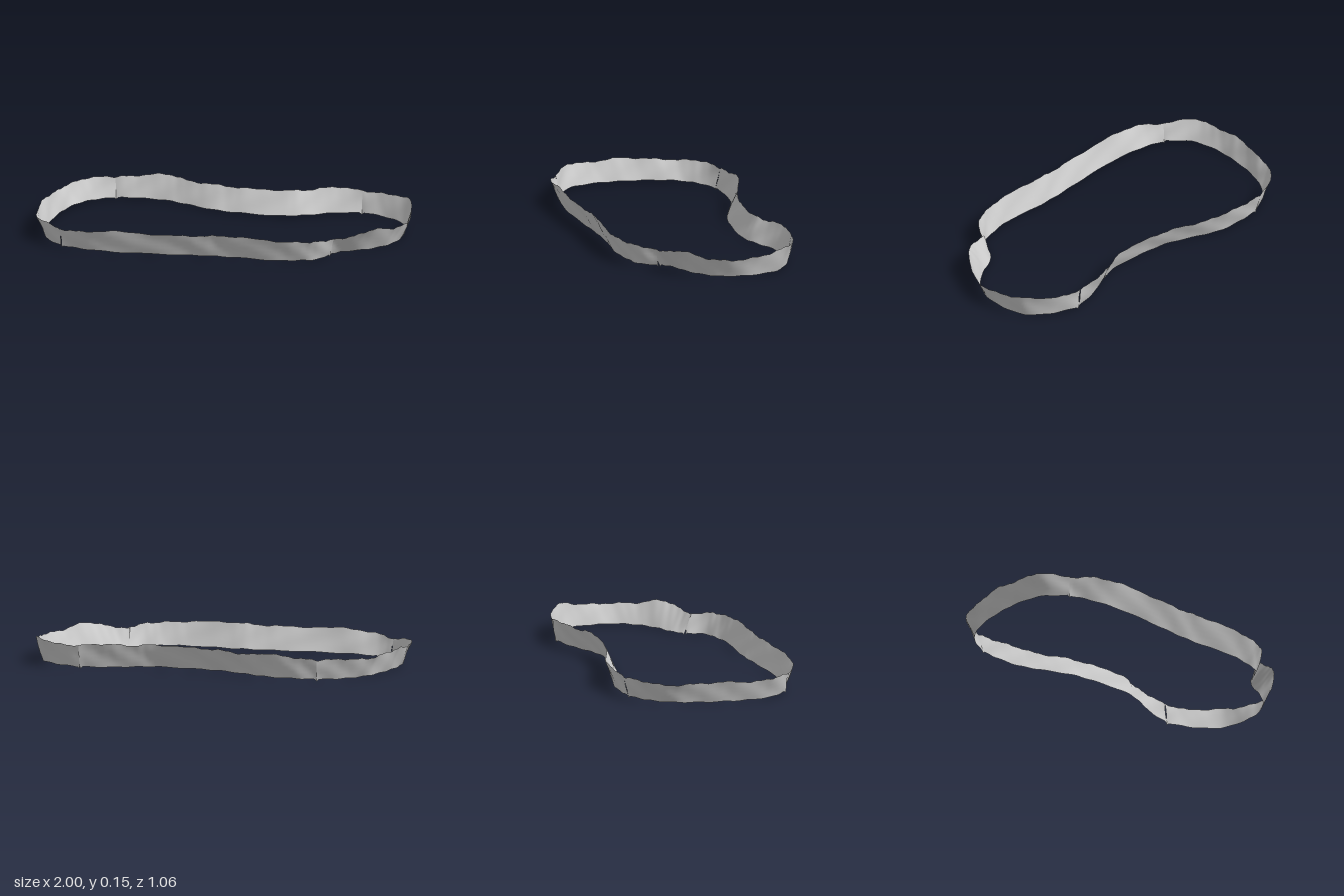
import * as THREE from 'three';

// Each panel: points along the top rim [x, z, height] and along the foot [x, z]
const panels = {
  backPanel: {
    top: [[-.73, -.425, .12], [-.61, -.45, .13], [-.45, -.47, .145], [-.32, -.44, .13], [-.15, -.40, .135], [0, -.385, .135],
      [.24, -.40, .14], [.35, -.45, .135], [.48, -.51, .145], [.63, -.53, .13]],
    foot: [[-.72, -.40], [-.61, -.42], [-.45, -.425], [-.32, -.39], [-.15, -.34], [0, -.33],
      [.24, -.345], [.35, -.39], [.48, -.46], [.63, -.51]],
  },
  rightPanel: {
    top: [[.63, -.53, .13], [.75, -.515, .13], [.92, -.425, .145], [.97, -.29, .122], [.995, -.13, .115], [.95, 0, .12],
      [.87, .125, .147], [.78, .20, .125], [.66, .245, .108]],
    foot: [[.63, -.515], [.78, -.47], [.90, -.385], [.945, -.24], [.94, -.10], [.89, 0],
      [.80, .085], [.70, .145], [.65, .20]],
  },
  frontPanel: {
    top: [[.68, .235, .11], [.62, .34, .125], [.54, .39, .13], [.40, .43, .137], [.14, .445, .147], [0, .46, .14],
      [-.18, .49, .137], [-.48, .52, .143], [-.67, .525, .127], [-.80, .47, .11]],
    foot: [[.65, .21], [.60, .31], [.51, .35], [.38, .385], [.14, .395], [0, .41],
      [-.18, .44], [-.48, .48], [-.67, .475], [-.79, .45]],
  },
  leftPanel: {
    top: [[-.80, .47, .115], [-.95, .365, .128], [-.985, .24, .12], [-1, .08, .13], [-.98, -.08, .122],
      [-.95, -.24, .115], [-.865, -.355, .125], [-.73, -.425, .12]],
    foot: [[-.79, .455], [-.905, .35], [-.95, .20], [-.955, .055], [-.94, -.10],
      [-.895, -.24], [-.825, -.33], [-.72, -.40]],
  },
};

const material = new THREE.MeshStandardMaterial({ color: 0xcccccc, side: THREE.DoubleSide });

// Leaning, slightly crumpled sheet lofted between the foot and rim curves
function makePanel(name, { top, foot }, seed) {
  const rim = new THREE.CatmullRomCurve3(top.map(([x, z, y]) => new THREE.Vector3(x, y, z)));
  const base = new THREE.CatmullRomCurve3(foot.map(([x, z]) => new THREE.Vector3(x, .01, z)));
  const cols = 90, rows = 6;
  const geometry = new THREE.PlaneGeometry(1, 1, cols, rows);
  const pos = geometry.attributes.position;
  const a = new THREE.Vector3(), b = new THREE.Vector3(), out = new THREE.Vector3();
  for (let i = 0; i <= cols; i++) {
    const u = i / cols, s = u * (top.length - 1);
    rim.getPoint(u, a);
    base.getPoint(u, b);
    out.subVectors(a, b).setY(0).normalize();
    // Ragged edges
    a.y += .003 * Math.sin(s * 5.3 + seed) + .002 * Math.sin(s * 13.1 + seed * 2);
    b.y += .002 * Math.sin(s * 6.7 + seed);
    // The foot dips at the seams
    if (i === 0 || i === cols) b.y = 0;
    for (let j = 0; j <= rows; j++) {
      const v = j / rows;
      const dent = .005 * Math.sin(Math.PI * v) * Math.sin(s * 4.1 + v * 2.5 + seed);
      const p = b.clone().lerp(a, v).addScaledVector(out, dent);
      pos.setXYZ((rows - j) * (cols + 1) + i, p.x, p.y, p.z);
    }
  }
  geometry.computeVertexNormals();
  const mesh = new THREE.Mesh(geometry, material);
  mesh.name = name;
  return mesh;
}

export function createModel() {
  const group = new THREE.Group();
  group.name = 'kidneyShapedWall';
  Object.entries(panels).forEach(([name, panel], i) => {
    // List every panel counter-clockwise so that its front faces outward
    const ordered = name === 'backPanel' || name === 'rightPanel'
      ? { top: [...panel.top].reverse(), foot: [...panel.foot].reverse() }
      : name === 'frontPanel'
        ? { top: [...panel.top].reverse(), foot: [...panel.foot].reverse() }
        : { top: [...panel.top].reverse(), foot: [...panel.foot].reverse() };
    group.add(makePanel(name, ordered, i * 1.7));
  });
  return group;
}
